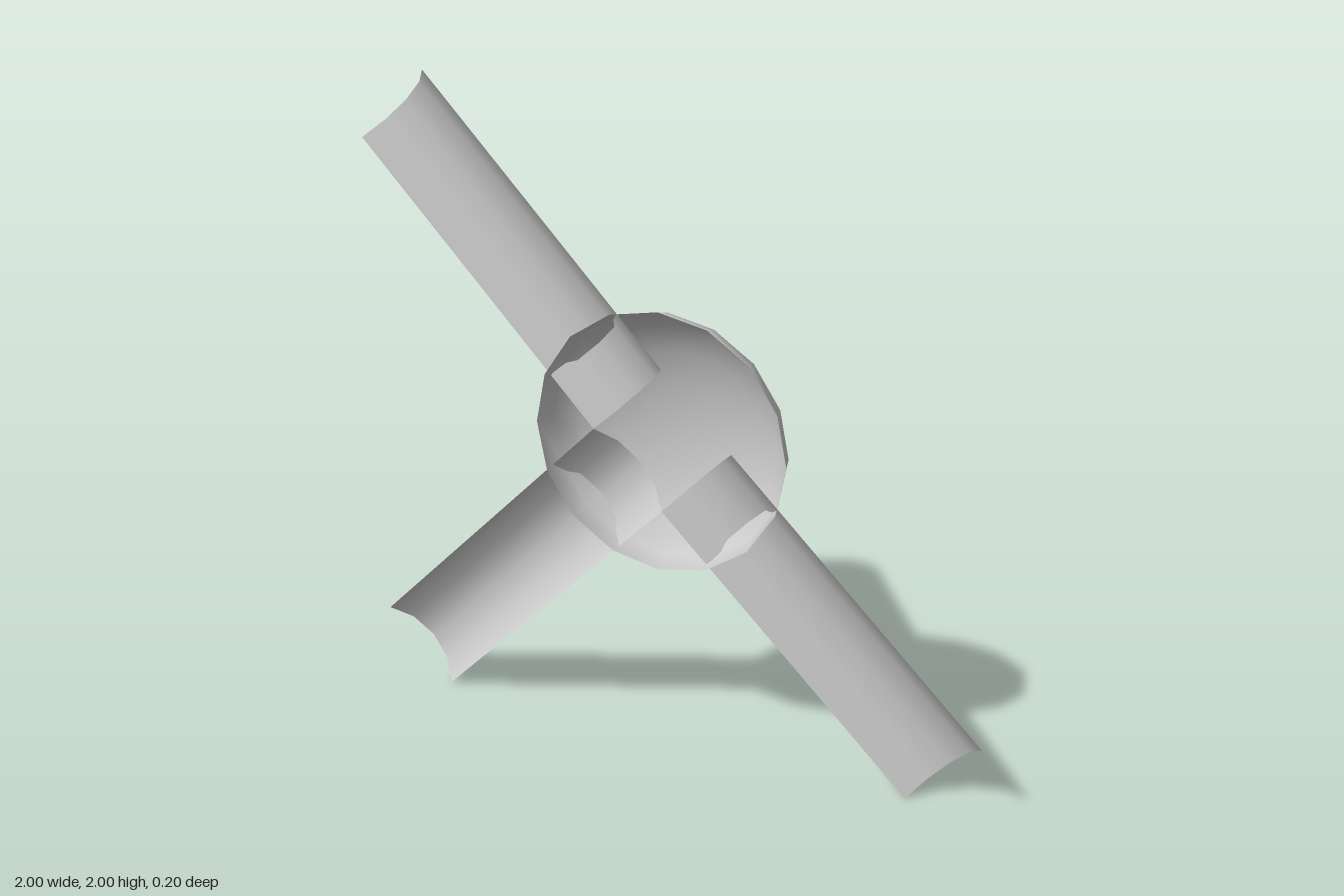
import * as THREE from 'three';

export function createModel() {
  const model = new THREE.Group();
  model.name = 'threeArmedRotor';
  const material = new THREE.MeshStandardMaterial({ color: 0xcccccc, side: THREE.DoubleSide });

  // Shallow hub bowl, open towards the front
  const bowl = new THREE.SphereGeometry(0.4, 16, 5, 0, Math.PI * 2, 0, Math.PI / 2);
  bowl.scale(1, 0.5, 1);
  bowl.rotateX(-Math.PI / 2);
  const hub = new THREE.Mesh(bowl, material);
  hub.name = 'hubBowl';
  hub.position.set(0, 1, 0.1);
  model.add(hub);

  // Curved sheet arms bulging backwards, tilted slightly back at the tips
  const halfArc = 0.9;
  const sheet = new THREE.CylinderGeometry(0.2, 0.2, 1.1, 4, 1, true, Math.PI - halfArc, 2 * halfArc);
  const arms = { upperRightArm: 45, lowerRightArm: 135, lowerLeftArm: -135 };
  for (const [name, degrees] of Object.entries(arms)) {
    const pivot = new THREE.Group();
    pivot.name = name;
    pivot.position.y = 1;
    pivot.rotation.z = THREE.MathUtils.degToRad(degrees);
    const blade = new THREE.Mesh(sheet, material);
    blade.name = name + 'Blade';
    blade.position.set(0, 0.71, 0.188);
    blade.rotation.x = -0.028;
    pivot.add(blade);
    model.add(pivot);
  }

  return model;
}
